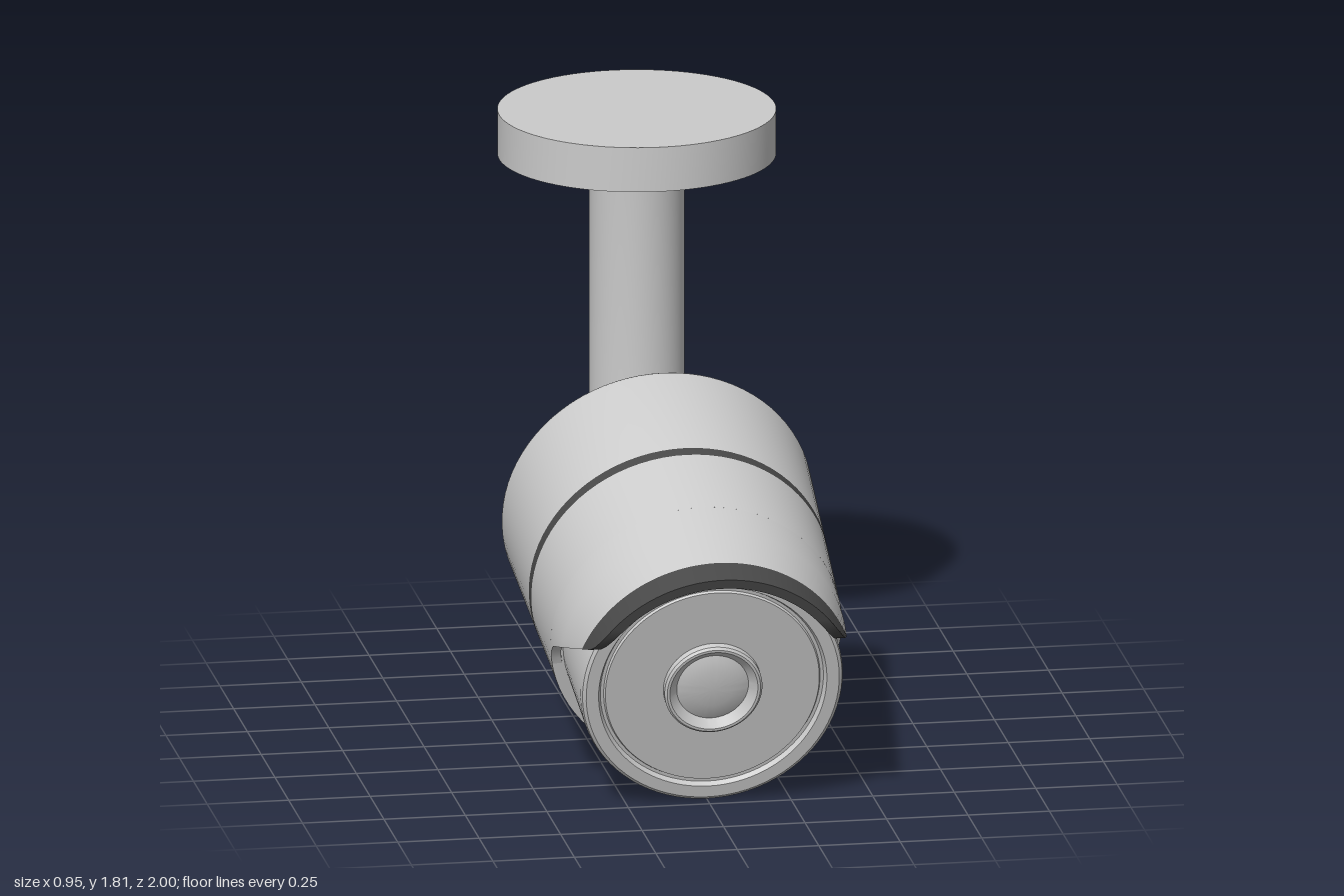
import * as THREE from 'three';
import { toCreasedNormals } from 'three/addons/utils/BufferGeometryUtils.js';

const grey = new THREE.MeshStandardMaterial({ color: 0xcccccc });
const dark = new THREE.MeshStandardMaterial({ color: 0x484848 });

function part(parent, name, geometry, material = grey, crease = 0.5) {
  const mesh = new THREE.Mesh(toCreasedNormals(geometry, crease), material);
  mesh.name = name;
  parent.add(mesh);
  return mesh;
}

// Lathe of [radius, height] points, listed from bottom to top
const lathe = (pts) => new THREE.LatheGeometry(pts.map(([r, y]) => new THREE.Vector2(r, y)), 80);
// Same, with the axis along +z
const latheZ = (pts) => lathe(pts).rotateX(Math.PI / 2);

// Outline of [z, y] points extruded across x from x0 to x1
function plate(pts, x0, x1) {
  const shape = new THREE.Shape(pts.map(([z, y]) => new THREE.Vector2(-z, y)));
  return new THREE.ExtrudeGeometry(shape, { depth: x1 - x0, bevelEnabled: false })
    .rotateY(Math.PI / 2).translate(x0, 0, 0);
}

// Outer radius of the tapered shell at distance a from its back
const shellRadius = (a) => 0.478 - 0.042 * a;

// Curved visor: each row is [distance, height of the lower edge]
function visor(rows, thickness = 0.03, n = 56) {
  const pos = [], index = [], ring = 2 * (n + 1);
  for (const [a, h] of rows) {
    for (const r of [shellRadius(a), shellRadius(a) - thickness]) {
      const start = Math.asin(Math.max(-1, h / r));
      for (let i = 0; i <= n; i++) {
        const k = r === shellRadius(a) ? i : n - i;
        const t = start + (Math.PI - 2 * start) * k / n;
        pos.push(r * Math.cos(t), r * Math.sin(t), a);
      }
    }
  }
  for (let j = 0; j < rows.length - 1; j++) {
    for (let i = 0; i < ring; i++) {
      const p = j * ring + i, q = j * ring + (i + 1) % ring;
      index.push(p, q, q + ring, p, q + ring, p + ring);
    }
  }
  // End faces
  const last = (rows.length - 1) * ring;
  for (let i = 0; i < n; i++) {
    const b = ring - 1 - i;
    index.push(i, b, b - 1, i, b - 1, i + 1);
    index.push(last + i, last + b - 1, last + b, last + i, last + i + 1, last + b - 1);
  }
  const g = new THREE.BufferGeometry();
  g.setAttribute('position', new THREE.Float32BufferAttribute(pos, 3));
  g.setIndex(index);
  return g;
}

function createMount() {
  const mount = new THREE.Group();
  mount.name = 'ceilingMount';
  mount.position.z = -0.577;

  part(mount, 'ceilingPlate', new THREE.CylinderGeometry(0.422, 0.422, 0.14, 80).translate(0, 1.745, 0));

  // Post with a fillet under the plate
  const profile = [[0.145, 0.895]];
  for (let i = 0; i <= 8; i++) {
    const t = (i / 8) * Math.PI / 2;
    profile.push([0.225 - 0.08 * Math.cos(t), 1.595 + 0.08 * Math.sin(t)]);
  }
  part(mount, 'post', lathe(profile));

  // Lower end of the post, cut away at front and back
  const end = new THREE.CylinderGeometry(0.145, 0.145, 0.055, 64, 1).translate(0, 0.8675, 0);
  const p = end.attributes.position;
  for (let i = 0; i < p.count; i++) {
    const limit = p.getY(i) < 0.87 ? 0.0875 : 0.145;
    p.setZ(i, THREE.MathUtils.clamp(p.getZ(i), -limit, limit));
  }
  part(mount, 'postEnd', end);

  // Fork prongs
  const outline = [[-0.0875, 0.85], [-0.0875, 0.73], [-0.055, 0.703], [0.055, 0.703], [0.0875, 0.73], [0.0875, 0.85]];
  part(mount, 'leftProng', plate(outline, 0.045, 0.115));
  part(mount, 'rightProng', plate(outline, -0.115, -0.045));
  return mount;
}

function createCamera() {
  const camera = new THREE.Group();
  camera.name = 'cameraBody';
  camera.position.set(0, 0.669, -0.24);
  camera.rotation.x = THREE.MathUtils.degToRad(15);

  // Back shell with a rounded rear edge
  const back = [[0.3, 0.0], [0.44, 0.0]];
  for (let i = 1; i <= 6; i++) {
    const t = (i / 6) * Math.PI / 2;
    back.push([0.44 + 0.036 * Math.sin(t), 0.036 - 0.036 * Math.cos(t)]);
  }
  back.push([shellRadius(0.44), 0.44]);
  part(camera, 'backShell', latheZ(back));
  part(camera, 'band', latheZ([[shellRadius(0.44), 0.44], [shellRadius(0.477), 0.477]]), dark);
  part(camera, 'frontShell', latheZ([[shellRadius(0.477), 0.477], [shellRadius(0.765), 0.765], [0.39, 0.765]]));

  // Visor and its dark tip
  part(camera, 'visor', visor([[0.764, -0.09], [0.768, -0.06], [0.777, -0.03], [0.80, 0.0], [0.9, 0.055], [1.07, 0.15]]));
  part(camera, 'visorTip', visor([[1.07, 0.15], [1.125, 0.18], [1.145, 0.2], [1.158, 0.225], [1.165, 0.26]]), dark);

  // Inner barrel with a stepped front face
  part(camera, 'barrel', latheZ([
    [0.408, 0.75], [0.402, 1.06], [0.398, 1.073], [0.388, 1.08],
    [0.35, 1.08], [0.342, 1.064], [0.332, 1.064], [0.328, 1.072], [0, 1.072],
  ]));
  part(camera, 'lensRing', latheZ([[0.15, 1.06], [0.15, 1.095], [0.143, 1.102], [0.135, 1.102], [0.11, 1.078]]));
  part(camera, 'lens', latheZ([[0.11, 1.078], [0.09, 1.085], [0.06, 1.091], [0.03, 1.094], [0, 1.095]]));

  // Rear cone, neck and pivot tongue
  part(camera, 'rearCone', latheZ([
    [0, -0.25], [0.097, -0.25], [0.097, -0.175], [0.103, -0.155], [0.118, -0.138], [0.33, 0.004],
  ]));
  part(camera, 'pivotTongue', plate(
    [[-0.24, -0.088], [-0.24, 0.088], [-0.42, 0.088], [-0.446, 0.06], [-0.446, -0.088]].reverse(), -0.04, 0.04));
  return camera;
}

export function createModel() {
  const model = new THREE.Group();
  model.name = 'securityCamera';
  model.add(createMount(), createCamera());
  return model;
}
